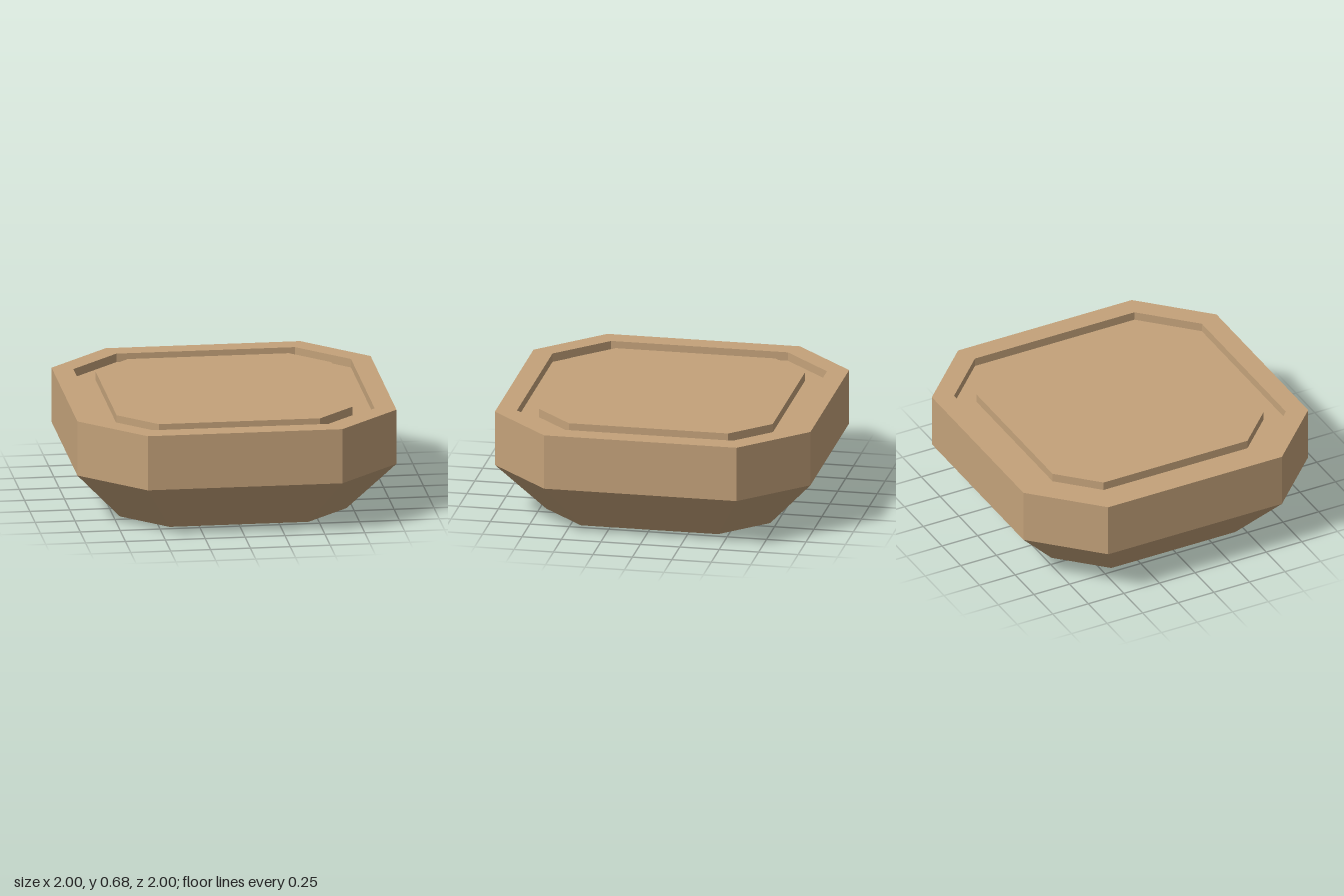
import * as THREE from 'three';

// Octagonal ring: square of half-size h with corners cut at c
function ring(h, c, y) {
  return [[c, h], [h, c], [h, -c], [c, -h], [-c, -h], [-h, -c], [-h, c], [-c, h]]
    .map(([x, z]) => new THREE.Vector3(x, y, z));
}

// Flat-faced skin through rings listed from bottom to top along the surface
function loft(rings, capStart, capEnd) {
  const pos = [];
  const tri = (...pts) => pts.forEach((p) => pos.push(p.x, p.y, p.z));
  for (let r = 0; r < rings.length - 1; r++) {
    const a = rings[r], b = rings[r + 1];
    for (let i = 0; i < 8; i++) {
      const j = (i + 1) % 8;
      tri(a[i], a[j], b[j]);
      tri(a[i], b[j], b[i]);
    }
  }
  const first = rings[0], last = rings[rings.length - 1];
  for (let i = 1; i < 7; i++) {
    if (capStart) tri(first[0], first[i + 1], first[i]);
    if (capEnd) tri(last[0], last[i], last[i + 1]);
  }
  const geometry = new THREE.BufferGeometry();
  geometry.setAttribute('position', new THREE.Float32BufferAttribute(pos, 3));
  geometry.computeVertexNormals();
  return geometry;
}

export function createModel() {
  const group = new THREE.Group();
  const tan = new THREE.MeshStandardMaterial({ color: 0xc4a27a });
  tan.name = 'tan';

  const top = 0.675, floor = 0.62;
  const add = (name, geometry) => {
    const mesh = new THREE.Mesh(geometry, tan);
    mesh.name = name;
    group.add(mesh);
  };

  // Tapered base, upright wall, rim and groove
  add('body', loft([
    ring(0.71, 0.435, 0),
    ring(1, 0.61, 0.325),
    ring(1, 0.61, top),
    ring(0.87, 0.56, top),
    ring(0.87, 0.56, floor),
    ring(0.74, 0.505, floor),
  ], true, false));

  // Raised panel inside the groove, level with the rim
  add('topPanel', loft([ring(0.74, 0.505, floor), ring(0.74, 0.505, top)], false, true));

  return group;
}
